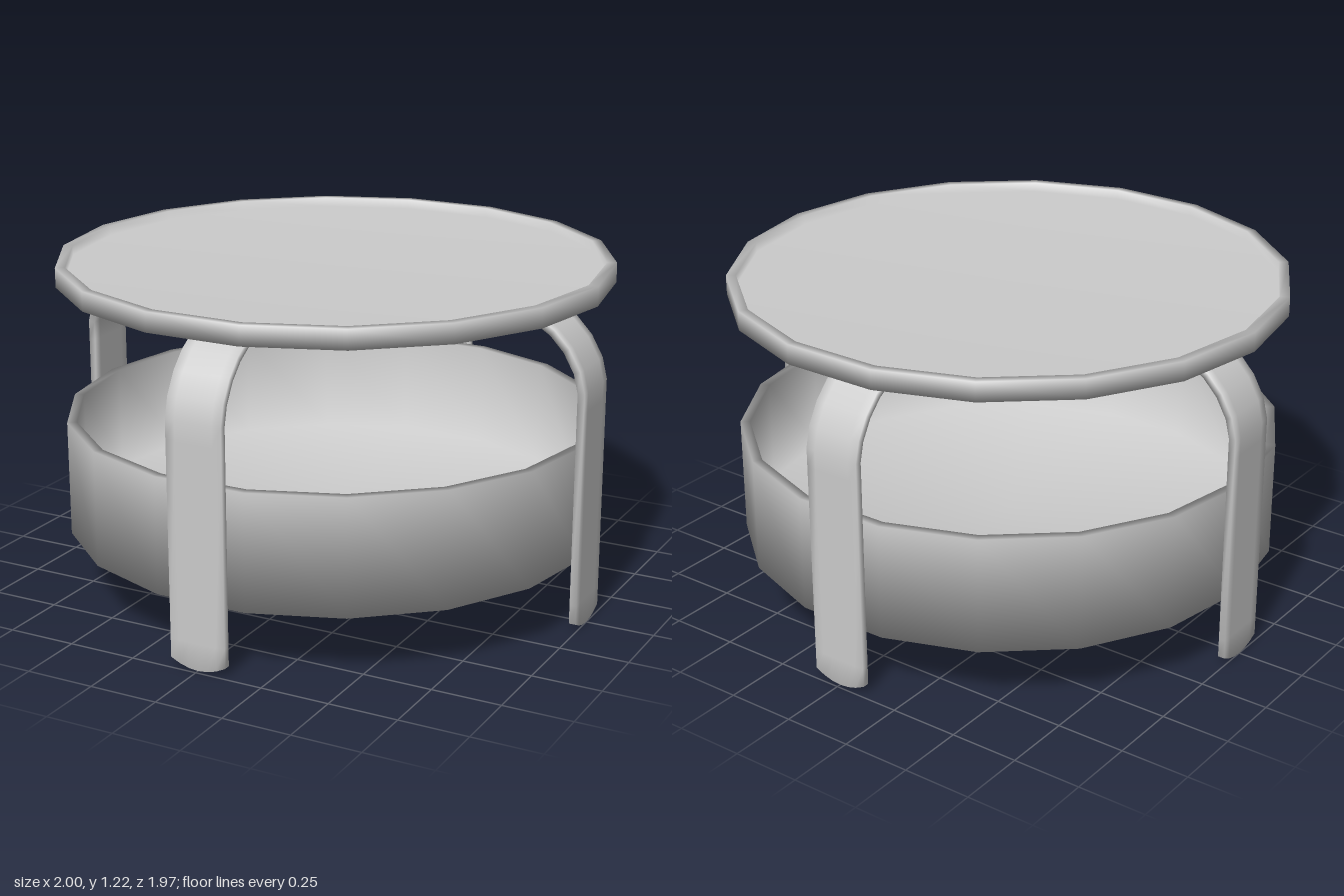
import * as THREE from 'three';
import { mergeVertices } from 'three/addons/utils/BufferGeometryUtils.js';

const material = new THREE.MeshStandardMaterial({ color: 0xcccccc });
const SIDES = 18;

function add(parent, name, geometry) {
  const mesh = new THREE.Mesh(geometry, material);
  mesh.name = name;
  parent.add(mesh);
  return mesh;
}

// Open round tray: floor, outer wall, rim and inner wall, with a corner facing +x
function tray(radius, bottom, top, wall, floor) {
  const inner = radius - wall;
  const profile = [
    [0, bottom], [radius, bottom], [radius, top],
    [inner, top], [inner, floor], [0, floor],
  ].map(([x, y]) => new THREE.Vector2(x, y));
  return new THREE.LatheGeometry(profile, SIDES, Math.PI / 2);
}

// Flat bent strip, upright then curling inwards, with rounded ends
function legGeometry() {
  const width = 0.21, thickness = 0.025, bulge = 0.03;
  // outer face: [offset from the outermost plane, height]
  const path = [
    [0, 0.03], [0, 0.1], [0, 0.8], [0, 0.87], [-0.018, 0.945], [-0.06, 1.02],
    [-0.115, 1.078], [-0.185, 1.122], [-0.26, 1.143],
  ].map(([x, y]) => new THREE.Vector2(x, y));
  const last = path.length - 1;
  let geometry = new THREE.BoxGeometry(width, 1, 1, 6, last, 1);
  const pos = geometry.attributes.position;
  for (let i = 0; i < pos.count; i++) {
    const row = Math.round((pos.getY(i) + 0.5) * last);
    const u = pos.getX(i) / (width / 2);
    const tangent = path[Math.min(row + 1, last)].clone()
      .sub(path[Math.max(row - 1, 0)]).normalize();
    const p = path[row].clone();
    if (pos.getZ(i) < 0) {
      p.x -= tangent.y * thickness;
      p.y += tangent.x * thickness;
    }
    const end = row === 0 ? -1 : row === last ? 1 : 0;
    p.addScaledVector(tangent, end * bulge * (1 - u * u));
    pos.setXYZ(i, pos.getX(i), p.y, p.x);
  }
  geometry.deleteAttribute('normal');
  geometry.deleteAttribute('uv');
  geometry = mergeVertices(geometry);
  geometry.computeVertexNormals();
  return geometry;
}

export function createModel() {
  const table = new THREE.Group();
  table.name = 'roundTable';

  // Shallow tray top and deep storage tub
  add(table, 'trayTop', tray(0.995, 1.15, 1.22, 0.035, 1.185));
  add(table, 'storageTub', tray(0.975, 0.235, 0.655, 0.035, 0.27));

  // Four bent strip legs, hugging the tub
  const leg = legGeometry();
  ['frontLeg', 'leftLeg', 'backLeg', 'rightLeg'].forEach((name, i) => {
    const holder = new THREE.Group();
    holder.name = name;
    holder.rotation.y = i * Math.PI / 2;
    add(holder, name + 'Strip', leg).position.z = i % 2 ? 1 : 0.985;
    table.add(holder);
  });
  return table;
}
